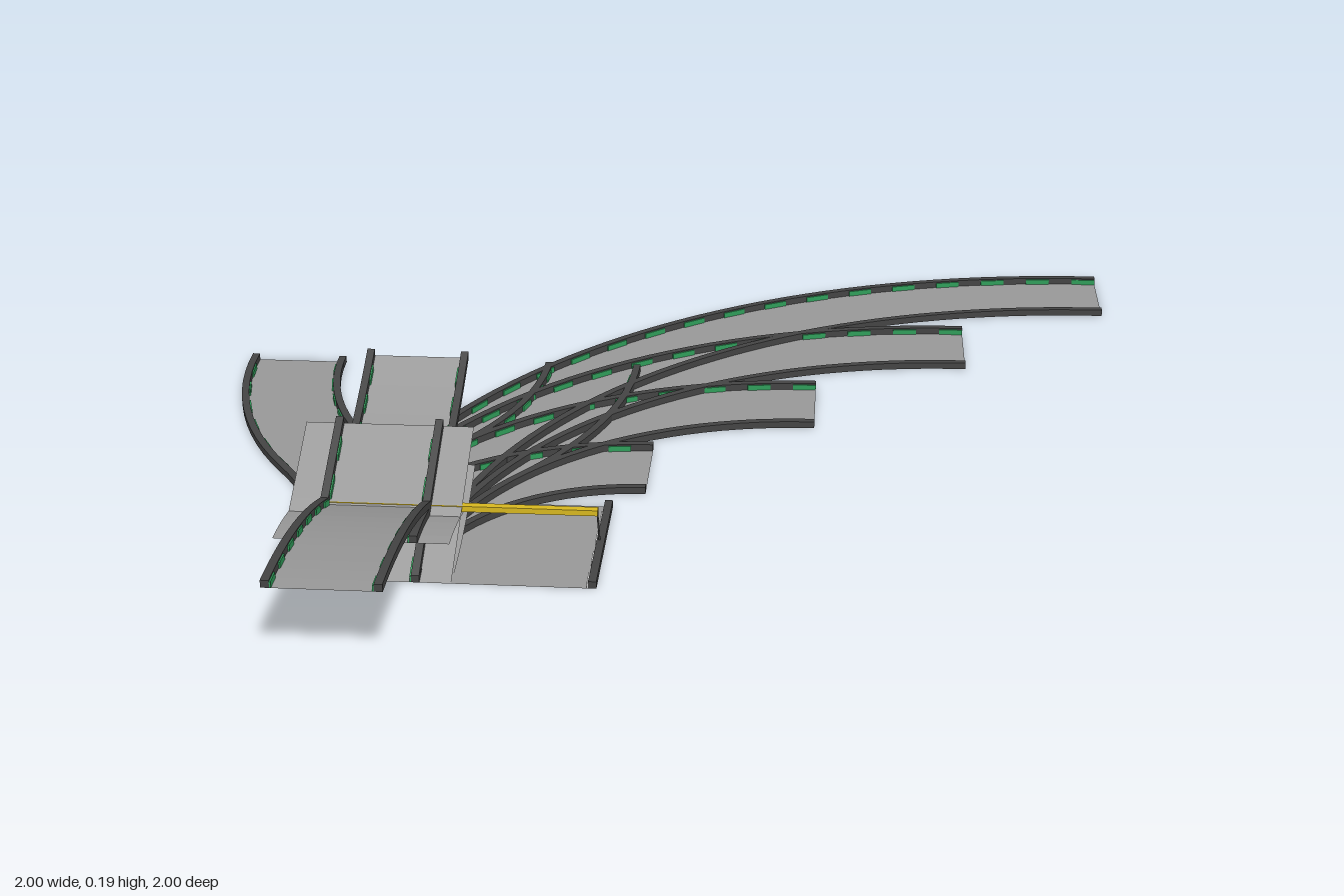
import * as THREE from 'three';

const T = 0.3433;            // tile size
const X0 = -0.545, Z0 = 0.655; // shared start of the pieces
const BASE = 0.003, HALF = 0.11, CURB_W = 0.016, CURB_H = 0.015;

const roadMat = new THREE.MeshStandardMaterial({ color: 0x999999, side: THREE.DoubleSide });
const curbMat = new THREE.MeshStandardMaterial({ color: 0x444444 });
const greenMat = new THREE.MeshStandardMaterial({ color: 0x2f9e5a });
const whiteMat = new THREE.MeshStandardMaterial({ color: 0xdddddd });
const yellowMat = new THREE.MeshStandardMaterial({ color: 0xd8b820 });

// Path frame: position plus a unit vector to the right of travel
const frame = (x, y, z, rx = 1, rz = 0) => ({ x, y, z, rx, rz });

// Sweeps a section of [side, height] points along frames; closed sections get end caps
function sweep(frames, section, closed) {
  const pos = [], idx = [];
  const n = section.length, sides = closed ? n : n - 1;
  const put = (f, [s, h]) => pos.push(f.x + f.rx * s, f.y + h, f.z + f.rz * s) / 3 - 1;
  for (let i = 0; i < frames.length - 1; i++) {
    for (let j = 0; j < sides; j++) {
      const p = section[j], q = section[(j + 1) % n];
      const a = put(frames[i], p), b = put(frames[i], q);
      const c = put(frames[i + 1], q), d = put(frames[i + 1], p);
      idx.push(a, c, b, a, d, c);
    }
  }
  if (closed) {
    const s = section.map((p) => put(frames[0], p));
    const e = section.map((p) => put(frames[frames.length - 1], p));
    idx.push(s[0], s[1], s[2], s[0], s[2], s[3], e[0], e[2], e[1], e[0], e[3], e[2]);
  }
  const g = new THREE.BufferGeometry();
  g.setAttribute('position', new THREE.Float32BufferAttribute(pos, 3));
  g.setIndex(idx);
  g.computeVertexNormals();
  return g;
}

// Rectangle, counter-clockwise as seen looking along the travel direction
const boxSection = (sa, sb, height) => {
  const s0 = Math.min(sa, sb), s1 = Math.max(sa, sb);
  return [[s0, 0], [s1, 0], [s1, height], [s0, height]];
};

function addMesh(group, geometry, material, name) {
  const m = new THREE.Mesh(geometry, material);
  m.name = name;
  group.add(m);
  return m;
}

// Road piece: surface, two curbs and dashed markings on their inner sides
function road(name, frames, { deck = HALF, curb = HALF, dash = greenMat } = {}) {
  const g = new THREE.Group();
  g.name = name;
  addMesh(g, sweep(frames, [[deck, 0], [-deck, 0]], false), roadMat, 'roadSurface');
  for (const side of [-1, 1]) {
    const outer = side * curb, inner = side * (curb - CURB_W), edge = side * (curb - CURB_W - 0.003);
    addMesh(g, sweep(frames, boxSection(outer, inner, CURB_H), true), curbMat, 'curb');
    for (let i = 0; i + 1 < frames.length; i += 2) {
      const strip = boxSection(inner, edge, CURB_H * 0.8);
      addMesh(g, sweep(frames.slice(i, i + 2), strip, true), dash, 'curbDash');
    }
  }
  return g;
}

const steps = (n, fn) => Array.from({ length: n + 1 }, (_, i) => fn(i / n));

// Quarter turn towards +x
const turnPath = (r) => steps(Math.round(24 * r) + 8, (t) => {
  const a = t * Math.PI / 2;
  return frame(X0 + r - r * Math.cos(a), BASE, Z0 - r * Math.sin(a), Math.cos(a), Math.sin(a));
});

// Lane shift made of two opposite arcs
function shiftPath(side) {
  const r = 2.5 * T, max = 2 * Math.atan(1 / 3);
  return steps(24, (t) => {
    const a = max * (t < 0.5 ? 2 * t : 2 - 2 * t);
    let dx = r * (1 - Math.cos(a)), dz = r * Math.sin(a);
    if (t > 0.5) { dx = T - dx; dz = 3 * T - dz; }
    return frame(X0 + side * dx, BASE, Z0 - dz, Math.cos(a), side * Math.sin(a));
  });
}

// Straight run towards -z with a height rule
const slopePath = (zStart, length, n, height) =>
  steps(n, (t) => frame(X0, BASE + height(t), zStart - t * length));

export function createModel() {
  const model = new THREE.Group();
  model.name = 'roadPieces';
  const wide = { deck: T / 2 };

  // Flat pieces
  model.add(road('straightTile', slopePath(Z0, T, 8, () => 0), wide));
  for (let i = 1; i <= 4; i++) model.add(road('quarterTurn' + i, turnPath((i + 0.5) * T)));
  model.add(road('leftLaneShift', shiftPath(-1)));
  model.add(road('rightLaneShift', shiftPath(1)));

  // Ramps: straight, easing in and easing out
  model.add(road('straightRamp', slopePath(Z0, T, 8, (t) => t * T / 2), wide));
  model.add(road('shortRampStart', slopePath(Z0, T, 10, (t) => t * t * T / 4), wide));
  model.add(road('longRampStart', slopePath(Z0, 2 * T, 18, (t) => t * t * T / 2)));
  model.add(road('shortRampEnd', slopePath(Z0, T, 10, (t) => (1 - t * t) * T / 4), wide));
  model.add(road('longRampEnd', slopePath(Z0 + T, 2 * T, 18, (t) => (1 - t * t) * T / 2)));

  // Double-width start section with a gate across it
  const start = new THREE.Group();
  start.name = 'startSection';
  const half = HALF + T / 2, cx = X0 + T / 2, gateZ = Z0 - T / 2;
  const path = slopePath(Z0, T, 8, () => 0);
  path.forEach((f) => { f.x = cx; });
  start.add(road('startRoad', path, { deck: half, curb: half, dash: whiteMat }));
  const beam = addMesh(start, new THREE.BoxGeometry(2 * half - 0.026, 0.012, 0.016), yellowMat, 'gateBeam');
  beam.position.set(cx, 0.08, gateZ);
  for (const side of [-1, 1]) {
    const post = addMesh(start, new THREE.CylinderGeometry(0.002, 0.002, 0.08, 6), curbMat, 'gatePost');
    post.position.set(cx + side * (half - 0.012), 0.043, gateZ);
    post.rotation.z = side * 0.06;
  }
  model.add(start);
  return model;
}
